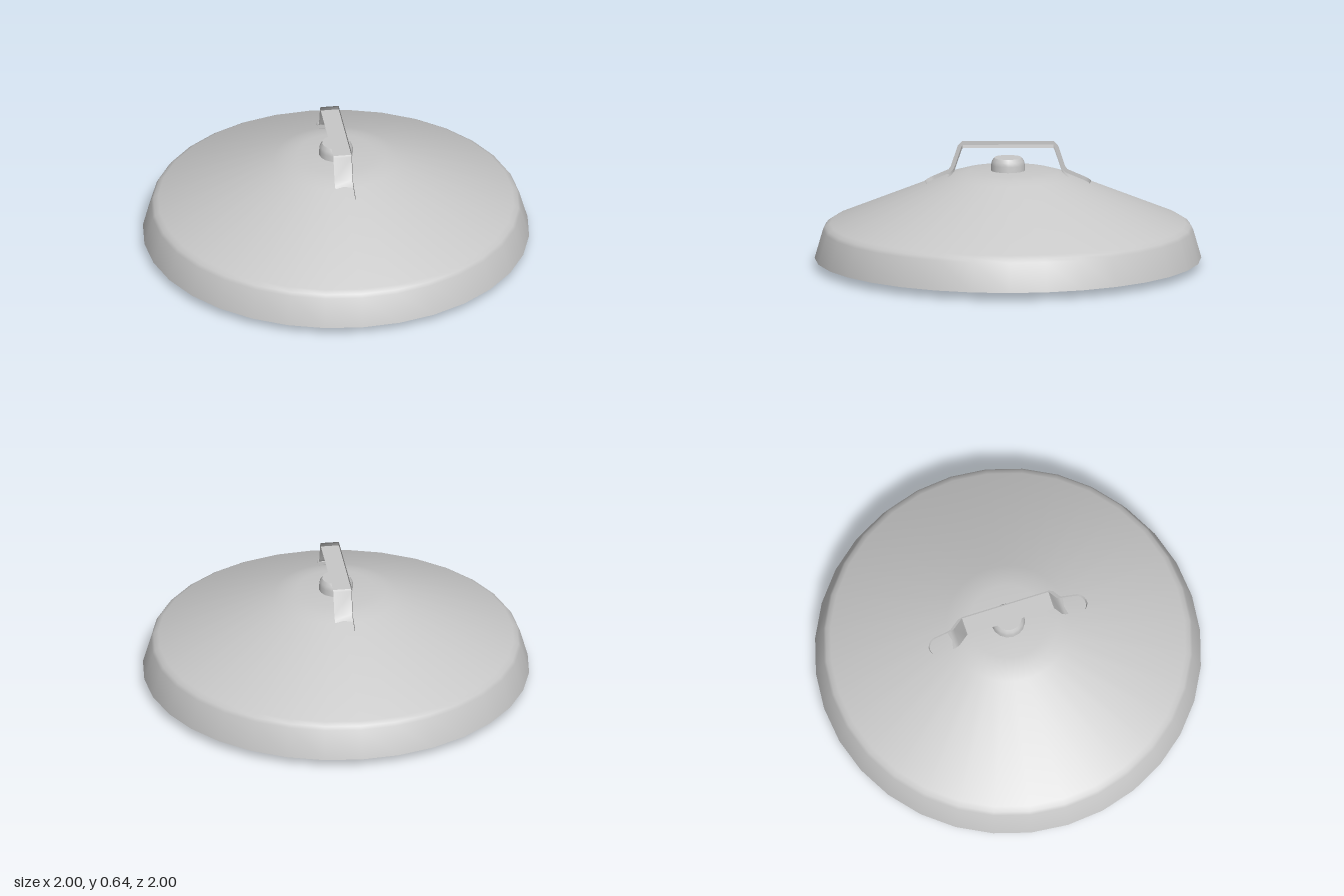
import * as THREE from 'three';
import { toCreasedNormals } from 'three/addons/utils/BufferGeometryUtils.js';

const metal = new THREE.MeshStandardMaterial({ color: 0xc8c8c8 });
metal.name = 'pale grey';

function lathe(name, profile, segments) {
  const points = profile.map(([r, y]) => new THREE.Vector2(r, y));
  const geometry = toCreasedNormals(new THREE.LatheGeometry(points, segments), 0.65);
  const mesh = new THREE.Mesh(geometry, metal);
  mesh.name = name;
  return mesh;
}

// Flat strip swept along a path in the z-y plane; each station is [z, y, half width]
function strip(stations, thickness) {
  const positions = [], index = [], n = stations.length;
  stations.forEach(([z, y, w], i) => {
    const a = stations[Math.max(i - 1, 0)], b = stations[Math.min(i + 1, n - 1)];
    const dir = new THREE.Vector2(b[0] - a[0], b[1] - a[1]).normalize();
    const nz = dir.y * thickness / 2, ny = -dir.x * thickness / 2;
    positions.push(-w, y + ny, z + nz, w, y + ny, z + nz, w, y - ny, z - nz, -w, y - ny, z - nz);
  });
  for (let i = 0; i < n - 1; i++) {
    for (let k = 0; k < 4; k++) {
      const a = i * 4 + k, b = i * 4 + (k + 1) % 4;
      index.push(a, a + 4, b, b, a + 4, b + 4);
    }
  }
  const e = (n - 1) * 4;
  index.push(0, 1, 2, 0, 2, 3, e, e + 2, e + 1, e, e + 3, e + 2);
  const geometry = new THREE.BufferGeometry();
  geometry.setAttribute('position', new THREE.Float32BufferAttribute(positions, 3));
  geometry.setIndex(index);
  return toCreasedNormals(geometry, 0.7);
}

export function createModel() {
  const lamp = new THREE.Group();
  lamp.name = 'hangingLamp';

  // Hollow shade: inside surface, rim, then outside surface
  lamp.add(lathe('shade', [
    [0, 0.475], [0.2, 0.475], [0.29, 0.455], [0.905, 0.2], [0.925, 0.18], [0.965, 0.04],
    [1, 0.04], [0.957, 0.19], [0.945, 0.207], [0.92, 0.222],
    [0.32, 0.472], [0.26, 0.49], [0.2, 0.5], [0, 0.5],
  ], 32));

  // Socket passing through the shade, with a bevelled cap above
  lamp.add(lathe('socket', [
    [0, 0.3], [0.085, 0.3], [0.088, 0.53], [0.083, 0.55], [0.072, 0.567], [0, 0.567],
  ], 16));

  const bulb = new THREE.Mesh(new THREE.SphereGeometry(0.182, 16, 8), metal);
  bulb.name = 'bulb';
  bulb.position.y = 0.182;
  lamp.add(bulb);

  // Strap handle with rounded feet lying on the shade
  const half = [];
  const w = 0.047, end = [0.425, 0.436], bend = [0.305, 0.486];
  const length = Math.hypot(end[0] - bend[0], end[1] - bend[1]);
  for (let i = 0; i <= 5; i++) {
    const a = (i / 5) * Math.PI / 2;
    const t = w * (1 - Math.cos(a)) / length;
    half.push([
      end[0] + (bend[0] - end[0]) * t,
      end[1] + (bend[1] - end[1]) * t,
      Math.max(w * Math.sin(a), 0.008),
    ]);
  }
  half.push([0.303, 0.488, w], [0.288, 0.505, w], [0.25, 0.618, w], [0.235, 0.635, w]);
  const path = [...half, ...half.slice().reverse().map(([z, y, s]) => [-z, y, s])];
  const handle = new THREE.Mesh(strip(path, 0.02), metal);
  handle.name = 'handle';
  lamp.add(handle);

  return lamp;
}
